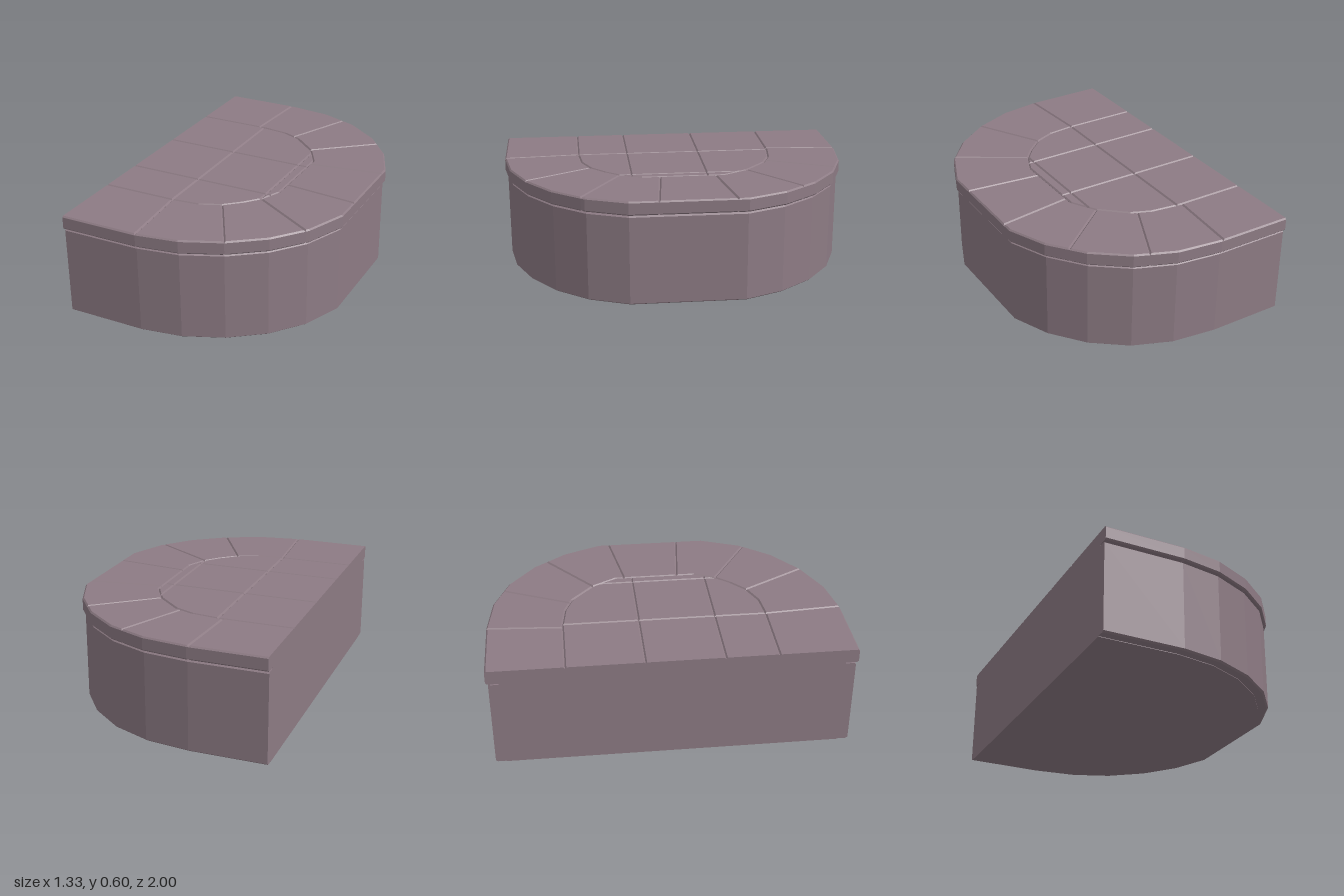
import * as THREE from 'three';

const BACK = -0.667; // flat rear plane, never chamfered

// Shrink an (x, z) outline by d, leaving edges on the flat back in place
function inset(poly, d) {
  const n = poly.length;
  const edges = poly.map((p, i) => {
    const q = poly[(i + 1) % n];
    const len = Math.hypot(q.x - p.x, q.y - p.y);
    const onBack = p.x === BACK && q.x === BACK;
    return { x: -(q.y - p.y) / len, y: (q.x - p.x) / len, d: onBack ? 0 : d };
  });
  return poly.map((p, i) => {
    const a = edges[(i + n - 1) % n], b = edges[i];
    const det = a.x * b.y - a.y * b.x;
    if (Math.abs(det) < 1e-3) return new THREE.Vector2(p.x + a.x * a.d, p.y + a.y * a.d);
    return new THREE.Vector2(
      p.x + (a.d * b.y - b.d * a.y) / det,
      p.y + (a.x * b.d - b.x * a.d) / det);
  });
}

// Upright block from an (x, z) outline and a profile of [inset, y] steps, bottom to top
function block(name, points, profile, material) {
  let poly = points.map(([x, z]) => new THREE.Vector2(x, z));
  if (THREE.ShapeUtils.area(poly) < 0) poly.reverse();
  const rings = profile.map(([d, y]) => inset(poly, d).map(p => [p.x, y, p.y]));
  const pos = [];
  const tri = (a, b, c) => pos.push(...a, ...b, ...c);
  for (let r = 0; r + 1 < rings.length; r++) {
    const lo = rings[r], hi = rings[r + 1];
    for (let i = 0; i < poly.length; i++) {
      const j = (i + 1) % poly.length;
      tri(lo[i], hi[j], lo[j]);
      tri(lo[i], hi[i], hi[j]);
    }
  }
  const bottom = rings[0], top = rings[rings.length - 1];
  for (const [a, b, c] of THREE.ShapeUtils.triangulateShape(poly, [])) {
    tri(bottom[a], bottom[b], bottom[c]);
    tri(top[a], top[c], top[b]);
  }
  const geometry = new THREE.BufferGeometry();
  geometry.setAttribute('position', new THREE.Float32BufferAttribute(pos, 3));
  geometry.computeVertexNormals();
  const mesh = new THREE.Mesh(geometry, material);
  mesh.name = name;
  return mesh;
}

export function createModel() {
  const stone = new THREE.MeshStandardMaterial({ color: 0x8d7b84 });
  stone.name = 'mauve stone';
  const model = new THREE.Group();
  model.name = 'halfRoundStep';

  const outline = [
    [BACK, -1], [-0.235, -1], [0.02, -0.968], [0.24, -0.88], [0.43, -0.733], [0.575, -0.545],
    [0.667, -0.325], [0.667, 0.322], [0.575, 0.55], [0.43, 0.73], [0.24, 0.87], [0.02, 0.963],
    [-0.215, 1], [BACK, 1]];

  // Inner core, showing in the shadow gaps above and below the wall
  model.add(block('core', outline, [[0.07, 0], [0.07, 0.53]], stone));
  // Faceted riser wall with chamfered rims
  model.add(block('riserWall', outline,
    [[0.024, 0.003], [0.014, 0.011], [0.014, 0.507], [0.024, 0.515]], stone));

  // Joints of the border: outer end, inner end
  const joints = [
    [[-0.245, -1], [-0.275, -0.58]], [[0.16, -0.912], [-0.015, -0.53]],
    [[0.49, -0.655], [0.16, -0.39]], [[0.667, -0.265], [0.24, -0.2]],
    [[0.667, 0.16], [0.24, 0.115]], [[0.56, 0.57], [0.188, 0.34]],
    [[0.24, 0.87], [0.03, 0.5]], [[-0.215, 1], [-0.245, 0.565]]];
  // Extra corners between joints: along the outside, then back along the inside
  const between = [
    [[[-0.235, -1], [0.02, -0.968]], [[-0.09, -0.56], [-0.245, -0.58]]],
    [[[0.24, -0.88], [0.43, -0.733]], [[0.02, -0.515]]],
    [[[0.575, -0.545], [0.667, -0.325]], [[0.24, -0.25]]],
    [[], []],
    [[[0.667, 0.322], [0.575, 0.55]], [[0.24, 0.22]]],
    [[[0.43, 0.73]], [[0.12, 0.42]]],
    [[[0.02, 0.963]], [[-0.09, 0.55]]]];

  const border = between.map(([outer, inner], i) => [
    joints[i][0], ...outer, joints[i + 1][0], joints[i + 1][1], ...inner, joints[i][1]]);
  border.unshift([[BACK, -1], ...joints[0], [BACK, -0.58]]);
  border.push([...[...joints[7]].reverse(), [BACK, 1], [BACK, 0.565]]);

  // Inner paving: rows cut by two lines across, one line along, and a narrow strip
  const rows = [-0.58, -0.155, 0.275, 0.565], mid = -0.245, edge = 0.185;
  const paving = [
    [[mid, rows[0]], [-0.09, -0.56], [0.02, -0.515], [0.16, -0.39], [edge, -0.35],
      [edge, rows[1]], [mid, rows[1]]],
    [[mid, rows[1]], [edge, rows[1]], [edge, rows[2]], [mid, rows[2]]],
    [[mid, rows[2]], [edge, rows[2]], [edge, 0.343], [0.12, 0.42], [0.03, 0.5],
      [-0.09, 0.55], [mid, rows[3]]]];
  for (let i = 0; i < 3; i++) {
    paving.push([[BACK, rows[i]], [mid, rows[i]], [mid, rows[i + 1]], [BACK, rows[i + 1]]]);
  }
  const strips = [
    [[edge, -0.35], [0.24, -0.25], [0.24, rows[1]], [edge, rows[1]]],
    [[edge, rows[1]], [0.24, rows[1]], [0.24, 0.22], [0.217, rows[2]], [edge, rows[2]]],
    [[edge, rows[2]], [0.217, rows[2]], [0.187, 0.34]]];

  // Every slab is chamfered, so neighbours meet in V joints
  const addSlabs = (name, list, c) => {
    const group = new THREE.Group();
    group.name = name;
    list.forEach((points, i) => group.add(block(`${name}Slab${i + 1}`, points,
      [[c, 0.521], [0, 0.521 + c], [0, 0.6 - c], [c, 0.6]], stone)));
    model.add(group);
  };
  addSlabs('border', border, 0.008);
  addSlabs('paving', paving, 0.008);
  addSlabs('narrowStrip', strips, 0.007);
  return model;
}
